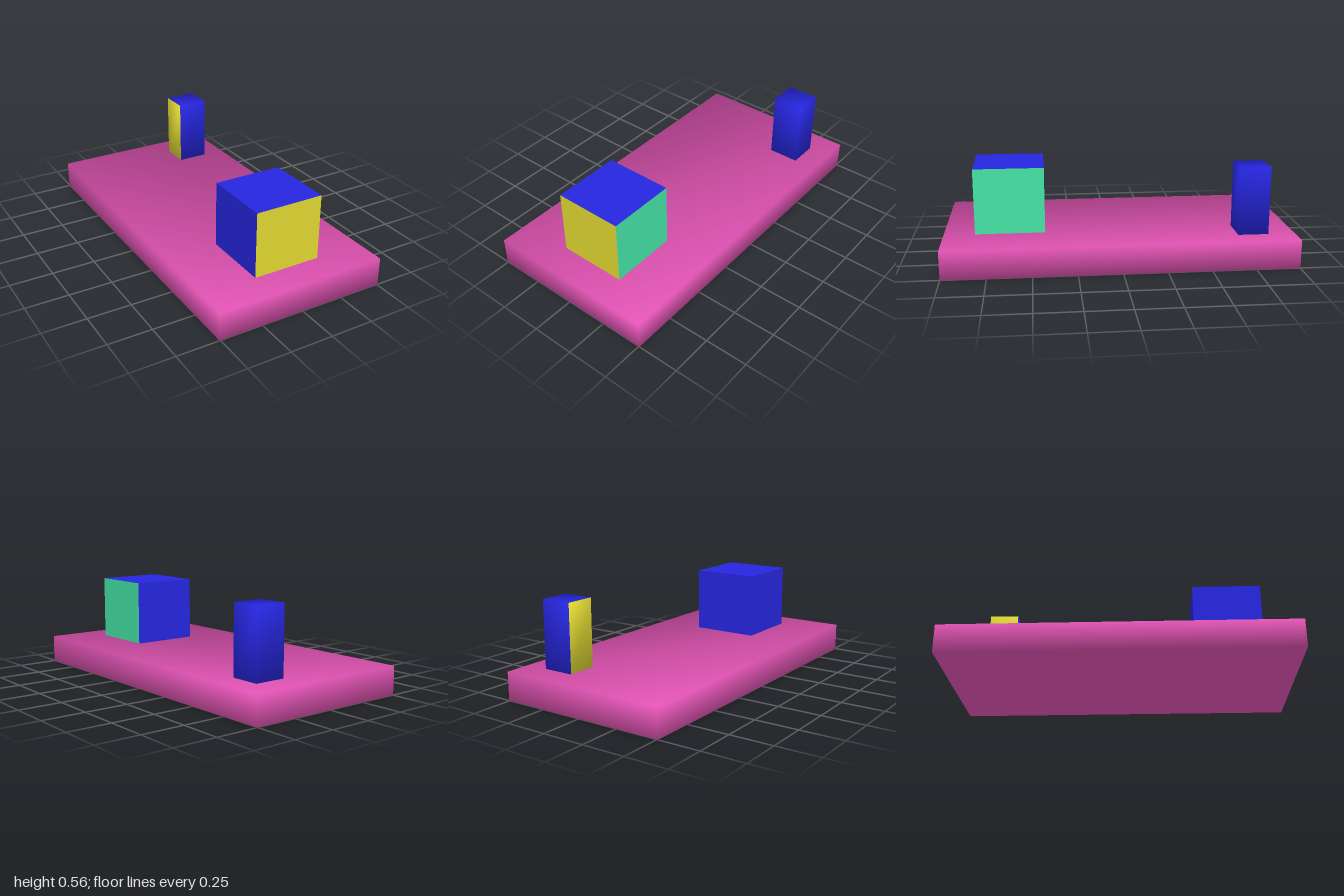
import * as THREE from 'three';

const paint = (name, color) => {
  const m = new THREE.MeshStandardMaterial({ color });
  m.name = name;
  return m;
};

// Box given by its min and max corners
function boxBetween(min, max) {
  const size = max.map((v, i) => v - min[i]);
  return new THREE.BoxGeometry(...size);
}

// Soft shading: every corner normal points along the corner's diagonal
function softenCorners(geometry) {
  const p = geometry.attributes.position;
  const n = geometry.attributes.normal;
  const v = new THREE.Vector3();
  for (let i = 0; i < p.count; i++) {
    v.set(Math.sign(p.getX(i)), Math.sign(p.getY(i)), Math.sign(p.getZ(i))).normalize();
    n.setXYZ(i, v.x, v.y, v.z);
  }
  return geometry;
}

export function createModel() {
  const pink = paint('pink', 0xe354b5);
  const blue = paint('blue', 0x2626e0);
  const yellow = paint('yellow', 0xe0d832);
  const green = paint('green', 0x44e2a4);

  const model = new THREE.Group();
  model.name = 'slabWithBlocks';

  const addBox = (name, min, max, material, soft) => {
    const geometry = boxBetween(min, max);
    if (soft) softenCorners(geometry);
    const mesh = new THREE.Mesh(geometry, material);
    mesh.name = name;
    mesh.position.set(...min.map((v, i) => (v + max[i]) / 2));
    model.add(mesh);
  };

  // Face materials run +x, -x, +y, -y, +z, -z
  addBox('baseSlab', [-0.505, 0, -1], [0.505, 0.165, 1], pink, true);
  addBox('frontCube', [-0.185, 0.145, 0.423], [0.215, 0.545, 0.823],
    [green, blue, blue, blue, yellow, blue], false);
  addBox('rearPost', [0.185, 0.145, -0.845], [0.371, 0.557, -0.67],
    [blue, yellow, blue, blue, blue, blue], true);

  return model;
}
